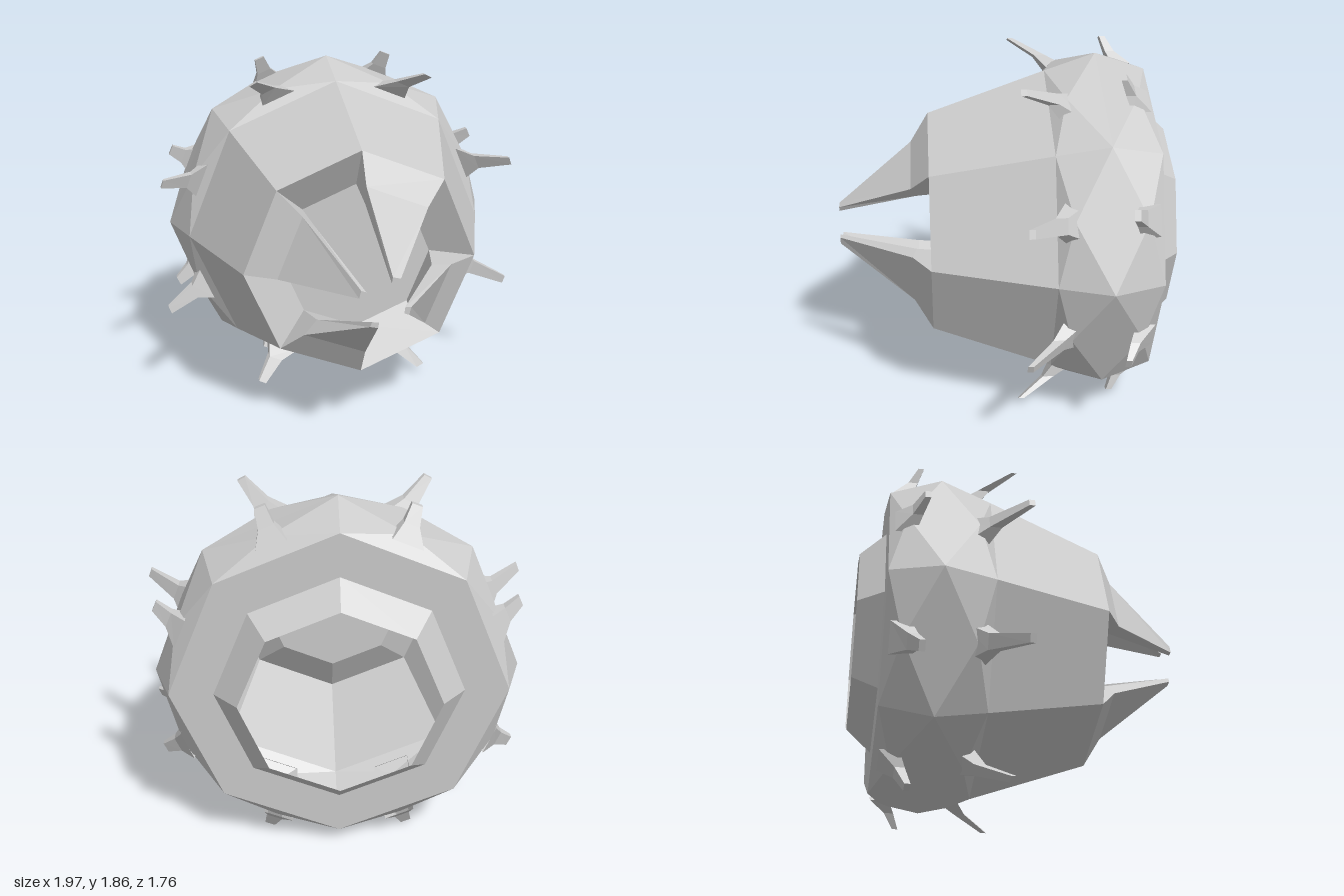
import * as THREE from 'three';

const SIDES = 8;
const STEP = Math.PI * 2 / SIDES;
const polar = (r, a, z) => [r * Math.cos(a), r * Math.sin(a), z];

// Faceted mesh from a list of triangles, each three [x, y, z] corners
function facetMesh(name, triangles, material) {
  const geometry = new THREE.BufferGeometry();
  geometry.setAttribute('position', new THREE.Float32BufferAttribute(triangles.flat(2), 3));
  geometry.computeVertexNormals();
  const mesh = new THREE.Mesh(geometry, material);
  mesh.name = name;
  return mesh;
}

// Join four-cornered cross-sections and close the tip
function loft(name, sections, material) {
  const triangles = [];
  for (let s = 0; s < sections.length - 1; s++) {
    const a = sections[s], b = sections[s + 1];
    for (let i = 0; i < 4; i++) {
      const j = (i + 1) % 4;
      triangles.push([a[i], a[j], b[j]], [a[i], b[j], b[i]]);
    }
  }
  const t = sections[sections.length - 1];
  triangles.push([t[0], t[1], t[2]], [t[0], t[2], t[3]]);
  return facetMesh(name, triangles, material);
}

// Eight-sided shell turned about the z axis from [radius, z] points
function shell(name, profile, material) {
  const points = profile.map(([r, z]) => new THREE.Vector2(r, z));
  const geometry = new THREE.LatheGeometry(points, SIDES).rotateX(Math.PI / 2).toNonIndexed();
  geometry.computeVertexNormals();
  const mesh = new THREE.Mesh(geometry, material);
  mesh.name = name;
  return mesh;
}

// Bulging belt: each half-panel is split around a raised centre point
function belt(material) {
  const triangles = [];
  const addPanel = (r0, z0, r1, z1, rc, zc, a) => {
    const p = [polar(r0, a, z0), polar(r0, a + STEP, z0), polar(r1, a + STEP, z1), polar(r1, a, z1)];
    const c = polar(rc, a + STEP / 2, zc);
    p.forEach((v, i) => triangles.push([v, p[(i + 1) % 4], c]));
  };
  for (let i = 0; i < SIDES; i++) {
    addPanel(0.84, -0.755, 0.93, -0.495, 0.86, -0.67, i * STEP);
    addPanel(0.93, -0.495, 0.84, -0.23, 0.86, -0.31, i * STEP);
  }
  return facetMesh('belt', triangles, material);
}

// Spike flaring from a wide root to a small blunt tip; sections are [radius, angle, z, halfWidth, halfDepth]
function spike(name, sections, material) {
  const corners = [[-1, -1], [1, -1], [1, 1], [-1, 1]];
  return loft(name, sections.map(([r, a, z, w, d]) => corners.map(([u, v]) => {
    const [x, y] = polar(r, a, z);
    return [x - Math.sin(a) * u * w, y + Math.cos(a) * u * w, z + v * d];
  })), material);
}

export function createModel() {
  const group = new THREE.Group();
  const material = new THREE.MeshStandardMaterial({
    color: 0xcccccc, flatShading: true, side: THREE.DoubleSide,
  });

  // Hollow body: open raised collar at the back, tapered snout and recessed mouth in front
  group.add(shell('backCollar', [[0.5, -0.885], [0.62, -0.755], [0.84, -0.755]], material));
  group.add(belt(material));
  group.add(shell('snoutAndMouth', [[0.84, -0.23], [0.62, 0.385], [0.405, 0.26], [0, 0.26]], material));

  // Four claws, each standing on every second side of the mouth rim
  const mid = Math.PI / 4, end = Math.PI / 2;
  const clawSections = [
    [polar(0.62, mid, 0.385), polar(0.62, end, 0.385), polar(0.405, end, 0.26), polar(0.405, mid, 0.26)],
    [polar(0.46, mid, 0.48), polar(0.46, end, 0.48), polar(0.36, end, 0.46), polar(0.36, mid, 0.46)],
    [[0.075, 0.12, 0.875], [0.035, 0.13, 0.875], [0.03, 0.1, 0.875], [0.065, 0.095, 0.875]],
  ];
  for (let i = 0; i < 4; i++) {
    const claw = loft('claw', clawSections, material);
    claw.rotation.z = i * Math.PI / 2;
    group.add(claw);
  }

  // Two rings of spikes on the belt: long leaning ones in front, short ones behind
  const deg = Math.PI / 180;
  for (let i = 0; i < SIDES; i++) {
    const root = (i + 0.5) * STEP;
    const upright = Math.abs(Math.sin(root)) > 0.7;
    const lean = Math.sign(Math.sin(2 * root)) * (upright ? -6 : -2) * deg;
    const tipRadius = upright ? 1.0 : 1.045;
    group.add(spike('frontSpike', [
      [0.81, root, -0.33, 0.1, 0.06],
      [0.89, root + lean * 0.4, -0.24, 0.04, 0.03],
      [tipRadius, root + lean, -0.085, 0.022, 0.015],
    ], material));
    const rearLean = Math.sign(Math.sin(2 * root)) * (upright ? 0.5 : 2) * deg;
    group.add(spike('rearSpike', [
      [0.83, root, -0.68, 0.08, 0.05],
      [0.9, root + rearLean * 0.5, -0.625, 0.04, 0.025],
      [0.985, root + rearLean, -0.585, 0.027, 0.015],
    ], material));
  }

  // Raise the parts so the lowest point of the belt rests on y = 0
  group.children.forEach((part) => { part.position.y = 0.93; });
  return group;
}
